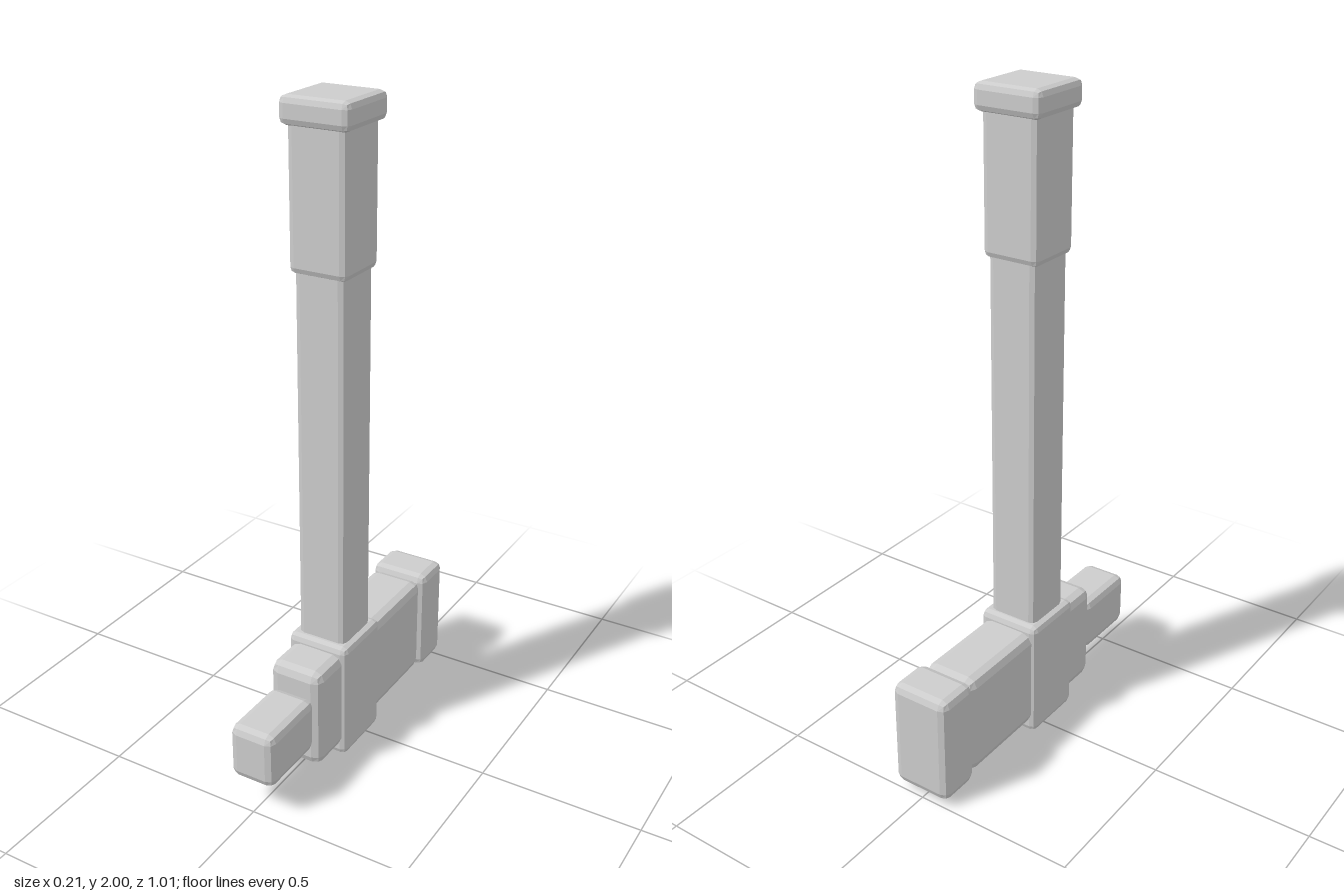
import * as THREE from 'three';
import { RoundedBoxGeometry } from 'three/addons/geometries/RoundedBoxGeometry.js';

export function createModel() {
  const group = new THREE.Group();
  const grey = new THREE.MeshStandardMaterial({ color: 0xcccccc, flatShading: true });
  grey.name = 'light grey';

  // Bevelled box from half width, y range, z range and bevel radius
  const block = (name, halfX, y0, y1, z0, z1, radius) => {
    const geometry = new RoundedBoxGeometry(2 * halfX, y1 - y0, z1 - z0, 1, radius);
    const mesh = new THREE.Mesh(geometry, grey);
    mesh.name = name;
    mesh.position.set(0, (y0 + y1) / 2, (z0 + z1) / 2);
    group.add(mesh);
  };

  // Handle, standing upright on the head
  block('shaft', 0.08, 0.34, 1.56, -0.043, 0.118, 0.02);
  block('grip', 0.091, 1.52, 1.96, -0.053, 0.129, 0.02);
  block('pommel', 0.107, 1.92, 2.0, -0.07, 0.145, 0.02);

  // Hammer head, lying along z
  block('collar', 0.101, 0, 0.385, -0.068, 0.145, 0.02);
  block('head', 0.087, 0.035, 0.36, -0.372, 0.273, 0.03);
  block('strikingFace', 0.096, 0.024, 0.37, -0.507, -0.368, 0.025);
  block('nose', 0.073, 0.108, 0.284, 0.272, 0.507, 0.025);

  return group;
}
